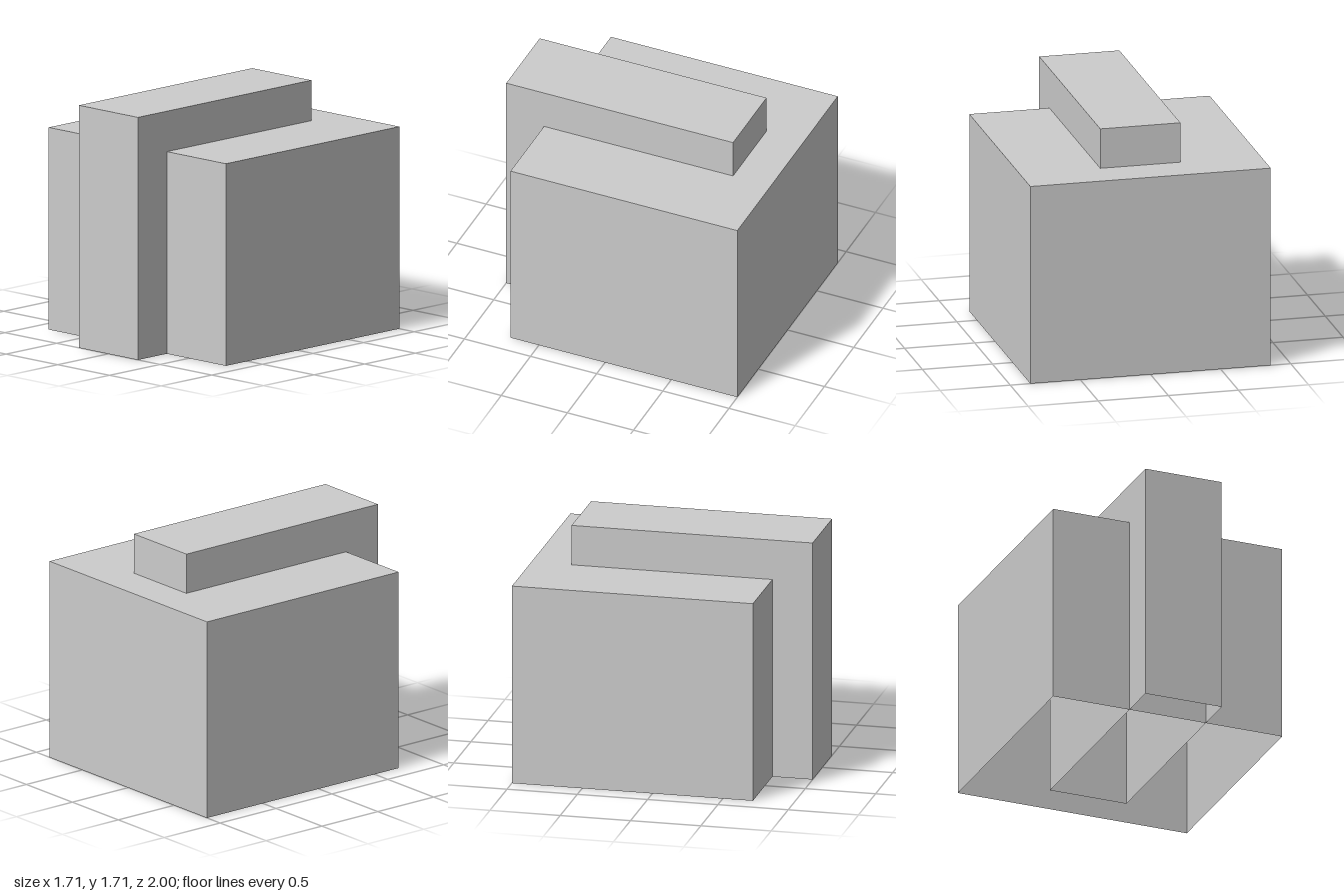
import * as THREE from 'three';

const material = new THREE.MeshStandardMaterial({
  color: 0xcccccc, flatShading: true, side: THREE.DoubleSide,
});

// Thin-walled box standing on y = 0, open underneath
function openBox(name, width, height, zBack, zFront) {
  const geometry = new THREE.BoxGeometry(width, height, zFront - zBack);
  // Face order is +x, -x, +y, -y, +z, -z with six indices each: drop -y
  const index = Array.from(geometry.index.array);
  index.splice(18, 6);
  geometry.setIndex(index);
  geometry.clearGroups();
  const mesh = new THREE.Mesh(geometry, material);
  mesh.name = name;
  mesh.position.set(0, height / 2, (zBack + zFront) / 2);
  return mesh;
}

export function createModel() {
  const u = 1 / 7; // all sizes are multiples of one seventh
  const group = new THREE.Group();
  group.name = 'ribbedBlock';
  group.add(
    openBox('mainBody', 12 * u, 10 * u, -1, 5 * u),
    openBox('centralRib', 4 * u, 12 * u, -5 * u, 1),
  );
  return group;
}
